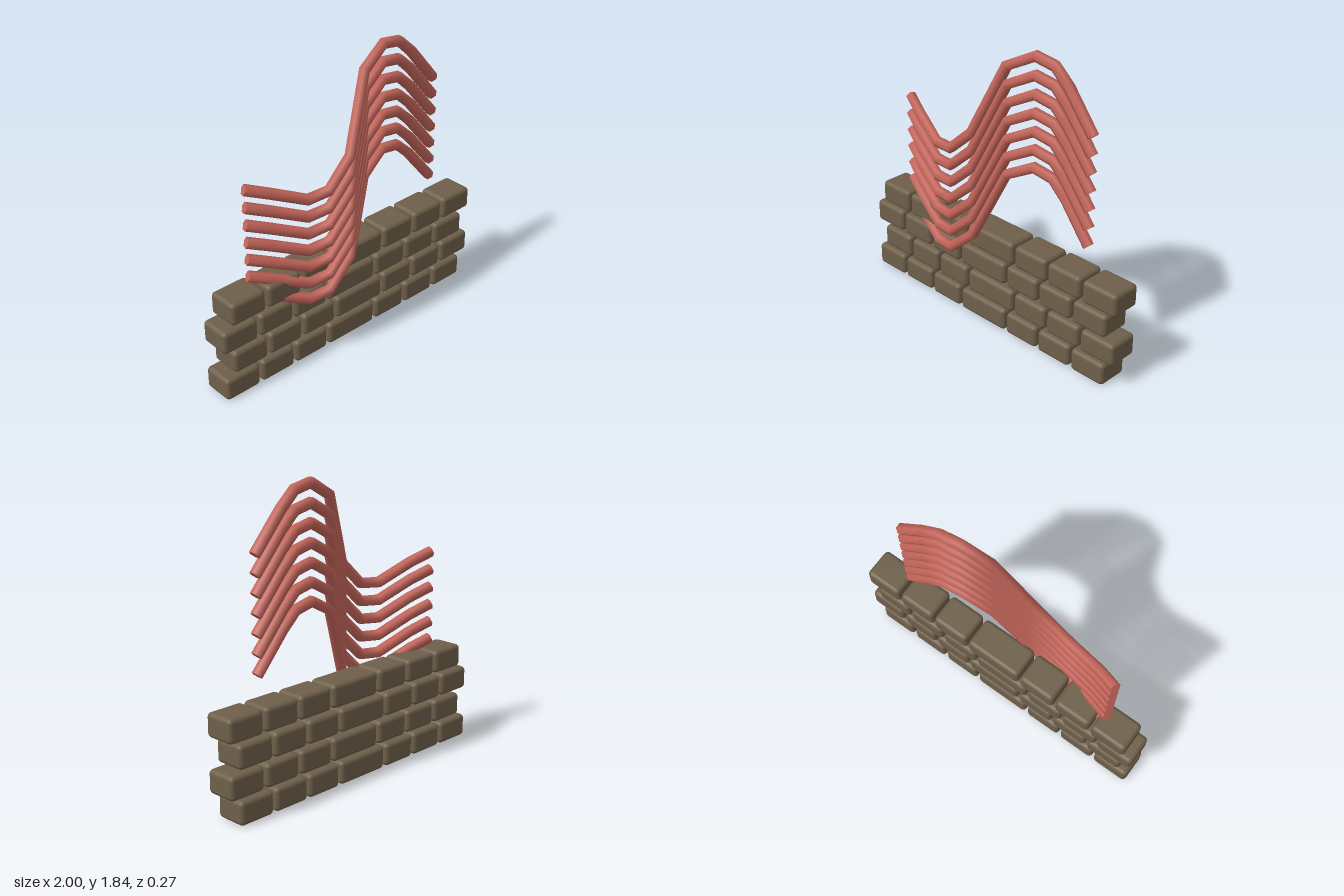
import * as THREE from 'three';
import { RoundedBoxGeometry } from 'three/addons/geometries/RoundedBoxGeometry.js';

const SIDES = 6, RADIUS = 0.034;

// Closed six-sided rod swept along a list of points, ridges facing front and back
function rodGeometry(points) {
  const pos = [], idx = [];
  const rings = points.map((p, i) => {
    const dir = new THREE.Vector3();
    if (i > 0) dir.add(p.clone().sub(points[i - 1]).normalize());
    if (i < points.length - 1) dir.add(points[i + 1].clone().sub(p).normalize());
    dir.normalize();
    const side = new THREE.Vector3(0, 0, 1).projectOnPlane(dir).normalize();
    const up = dir.clone().cross(side);
    return Array.from({ length: SIDES }, (_, j) => {
      const a = (j / SIDES) * Math.PI * 2;
      return p.clone()
        .addScaledVector(side, Math.cos(a) * RADIUS)
        .addScaledVector(up, Math.sin(a) * RADIUS);
    });
  });
  rings.forEach((ring) => ring.forEach((v) => pos.push(v.x, v.y, v.z)));
  for (let i = 0; i < rings.length - 1; i++) {
    for (let j = 0; j < SIDES; j++) {
      const k = (j + 1) % SIDES;
      const a = i * SIDES + j, b = i * SIDES + k;
      idx.push(a, b, a + SIDES, b, b + SIDES, a + SIDES);
    }
  }
  // Flat end caps with their own vertices
  [[rings[0], true], [rings[rings.length - 1], false]].forEach(([ring, flip]) => {
    const base = pos.length / 3;
    ring.forEach((v) => pos.push(v.x, v.y, v.z));
    for (let j = 1; j < SIDES - 1; j++) {
      if (flip) idx.push(base, base + j + 1, base + j);
      else idx.push(base, base + j, base + j + 1);
    }
  });
  const geo = new THREE.BufferGeometry();
  geo.setAttribute('position', new THREE.Float32BufferAttribute(pos, 3));
  geo.setIndex(idx);
  geo.computeVertexNormals();
  return geo;
}

export function createModel() {
  const model = new THREE.Group();
  const stone = new THREE.MeshStandardMaterial({ name: 'brown stone', color: 0x6e5f4a });
  const red = new THREE.MeshStandardMaterial({ name: 'brick red', color: 0xc4655a });

  // Wall: four staggered courses, each with a long brick in the middle
  const wall = new THREE.Group();
  wall.name = 'wall';
  const widths = [0.243, 0.243, 0.243, 0.372, 0.243, 0.243, 0.243];
  const gap = 0.0175, height = 0.145, depth = 0.2;
  const shapes = {};
  for (let row = 0; row < 4; row++) {
    let x = row % 2 ? -0.935 : -1;
    widths.forEach((w) => {
      shapes[w] ??= new RoundedBoxGeometry(w, height, depth, 3, 0.027);
      const brick = new THREE.Mesh(shapes[w], stone);
      brick.name = 'brick';
      brick.position.set(x + w / 2, height / 2 + row * 0.1643, -0.037);
      wall.add(brick);
      x += w + gap;
    });
  }
  model.add(wall);

  // Wave: one bent rod repeated upwards
  const path = [
    [-0.74, 0.59, -0.037], [-0.604, 0.536, 0.015], [-0.385, 0.437, 0.078],
    [-0.249, 0.45, 0.1], [-0.078, 0.603, 0.09], [0.112, 1.041, 0.003],
    [0.294, 1.137, -0.035], [0.428, 1.113, -0.045], [0.53, 1.02, -0.045],
    [0.714, 0.798, -0.036],
  ].map((p) => new THREE.Vector3(...p));
  const rod = rodGeometry(path);
  const wave = new THREE.Group();
  wave.name = 'wave';
  for (let i = 0; i < 7; i++) {
    const mesh = new THREE.Mesh(rod, red);
    mesh.name = 'waveRod';
    mesh.position.y = i * 0.1117;
    wave.add(mesh);
  }
  model.add(wave);

  return model;
}
